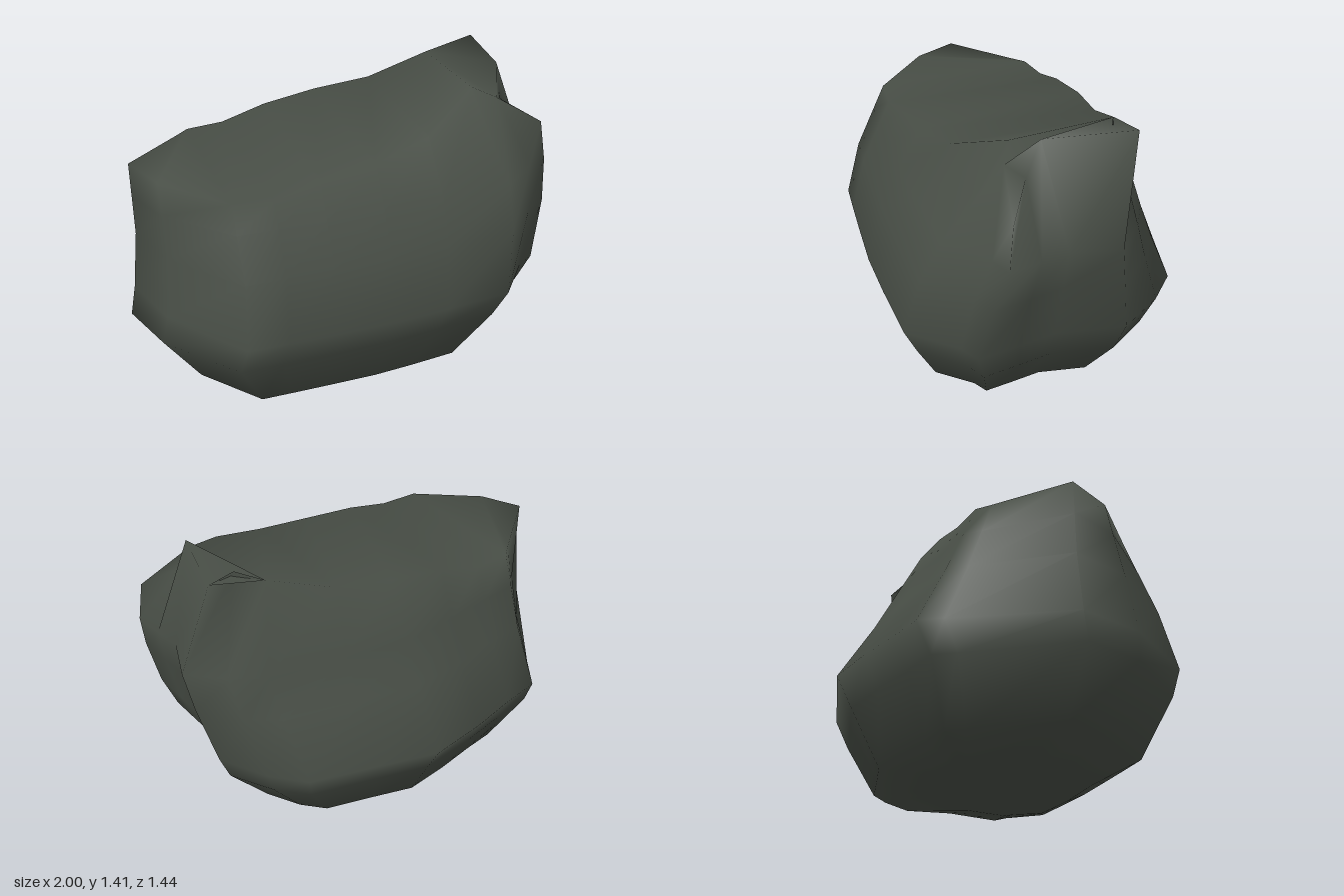
import * as THREE from 'three';

// Piecewise-linear lookup in [key, value] pairs
function lookup(pairs, k) {
  if (k <= pairs[0][0]) return pairs[0][1];
  for (let i = 1; i < pairs.length; i++) {
    const [k0, v0] = pairs[i - 1], [k1, v1] = pairs[i];
    if (k <= k1) return v0 + (v1 - v0) * (k - k0) / (k1 - k0);
  }
  return pairs[pairs.length - 1][1];
}

// Widest plan outline, counter-clockwise seen from above: [x, z, optional corner on the top rim]
const outline = [
  [-1, 0.01],
  // front side
  [-0.91, 0.32], [-0.64, 0.69], [-0.45, 0.7], [-0.22, 0.71], [0.06, 0.72], [0.35, 0.71], [0.7, 0.69],
  // notched left end with the peak
  [0.9, 0.49, [0.74, 1.28, 0.27]],
  [1, 0.44, [0.97, 1.14, 0.31]],
  [0.97, 0.25, [0.8, 1.24, 0.2]],
  [0.94, 0.08, [0.8, 1.4, 0.14]],
  [1, -0.23, [0.87, 1.41, -0.24]],
  [0.85, -0.44],
  // back side, in step with the front
  [0.7, -0.57], [0.35, -0.65], [0.06, -0.72], [-0.22, -0.67], [-0.45, -0.61], [-0.64, -0.57], [-0.7, -0.47],
];

// How far each side reaches at a given height, relative to the outline
const reach = {
  right: [[0.06, 0.81], [0.33, 1], [0.65, 0.94], [1.1, 0.94]],
  left: [[0.06, 0.66], [0.28, 0.84], [0.48, 0.91], [0.9, 1], [1.18, 0.98], [1.41, 0.86]],
  front: [[0.06, 0.75], [0.48, 1], [0.75, 0.9], [1.1, 0.65], [1.17, 0.57], [1.41, 0.17]],
  back: [[0.06, 0.7], [0.48, 1], [0.76, 0.77], [1.2, 0.46], [1.41, 0.42]],
};

// Crest height along x; the front lip sits a little lower than the back
const crest = [[-0.94, 1.11], [-0.45, 1.09], [-0.22, 1.16], [-0.1, 1.16], [0.05, 1.2], [0.3, 1.23], [0.6, 1.33], [0.8, 1.4]];
const topHeight = (x, z) =>
  lookup(crest, x) - (z > 0.2 ? 0.07 * Math.max(0, 1 - Math.abs(x)) : 0);

function sidePoint([x, z], y) {
  return [
    x * lookup(x < 0 ? reach.right : reach.left, y), y,
    z * lookup(z > 0 ? reach.front : reach.back, y),
  ];
}

function boulderGeometry() {
  const n = outline.length;
  const flanks = [0.06, 0.33, 0.48, 0.76, 0.95].map((y) => outline.map((p) => sidePoint(p, y)));
  const rim = outline.map(([x, z, corner]) =>
    corner || sidePoint([x, z], topHeight(x * 0.94, z)));
  // Underside, tilted up slightly towards the back
  const base = outline.map(([x, z]) =>
    [x * 0.38, z > 0 ? 0.008 : x > 0 ? 0.05 : 0.03, z > 0 ? z * 0.6 : z * 0.35]);

  const rings = [base, ...flanks, rim];
  const points = [...rings.flat(), [0, 0, 0.06]];
  const bottom = rings.length * n, last = bottom - n;
  const index = [];
  for (let i = 0; i < n; i++) {
    const j = (i + 1) % n;
    for (let r = 0; r < last; r += n) {
      index.push(r + i, r + j, r + n + j, r + i, r + n + j, r + n + i);
    }
    index.push(bottom, j, i);
  }
  // Top face: right tip, strips from front rim to back rim, then the notched end
  const cap = [[0, 1, n - 1]];
  for (let i = 1; i < 7; i++) cap.push([i, i + 1, n - i - 1], [i, n - i - 1, n - i]);
  cap.push([14, 7, 8], [14, 8, 11], [14, 11, 12], [14, 12, 13], [8, 9, 10], [8, 10, 11]);
  index.push(...cap.flat().map((k) => last + k));

  const geometry = new THREE.BufferGeometry();
  geometry.setAttribute('position', new THREE.Float32BufferAttribute(points.flat(), 3));
  geometry.setIndex(index);
  geometry.computeVertexNormals();
  return geometry;
}

export function createModel() {
  const group = new THREE.Group();
  group.name = 'rock';
  const boulder = new THREE.Mesh(boulderGeometry(), new THREE.MeshStandardMaterial({ color: 0x484e46 }));
  boulder.name = 'boulder';
  group.add(boulder);
  return group;
}
